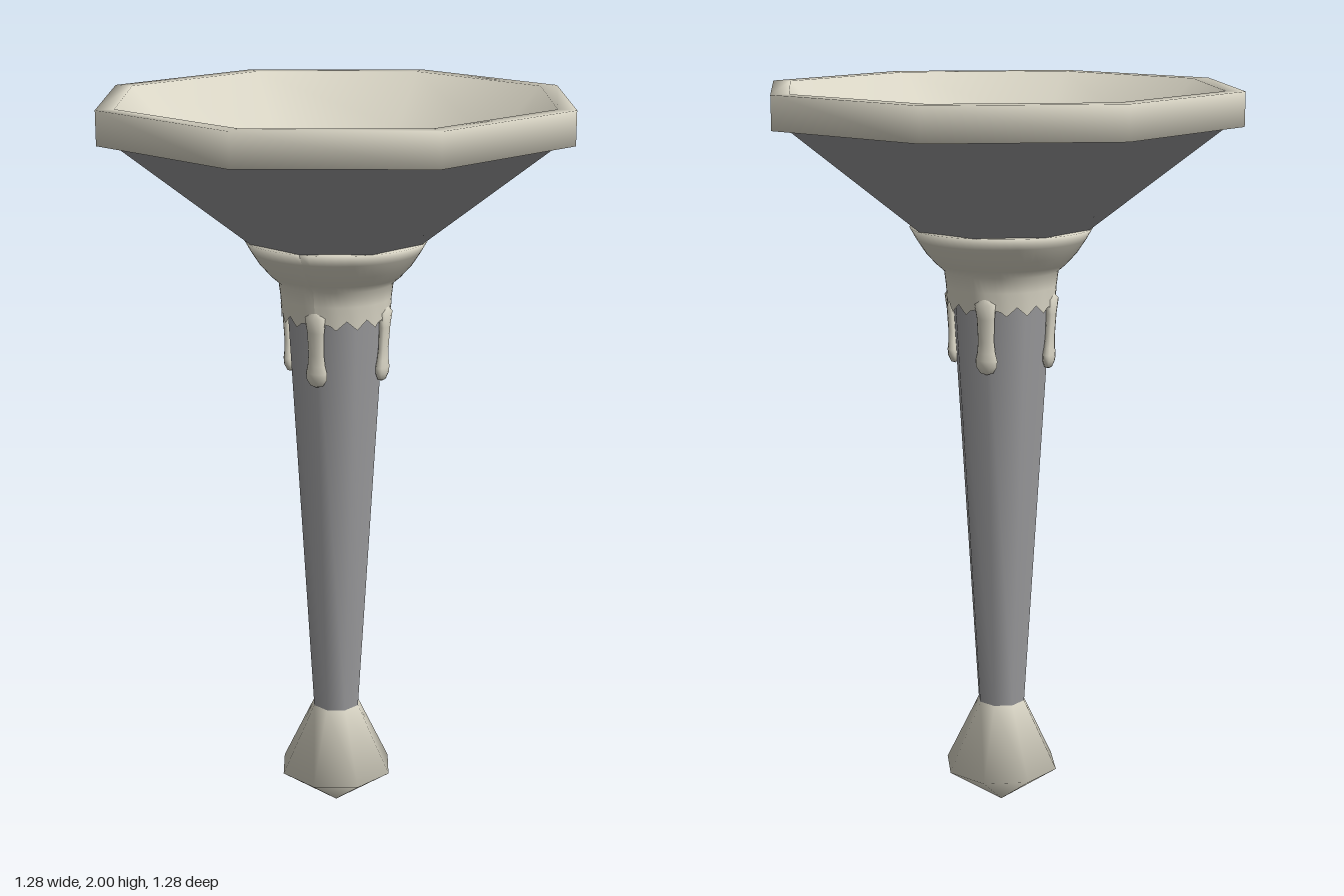
import * as THREE from 'three';

const SIDES = 8;
const cream = new THREE.MeshStandardMaterial({ color: 0xd9d5c5, side: THREE.DoubleSide });
const iron = new THREE.MeshStandardMaterial({ color: 0x9c9c9e, side: THREE.DoubleSide });

// Turned part from [radius, height] pairs, listed bottom to top along the outside
function turned(name, points, segments, material) {
  const profile = points.map(([r, y]) => new THREE.Vector2(r, y));
  const mesh = new THREE.Mesh(new THREE.LatheGeometry(profile, segments), material);
  mesh.name = name;
  return mesh;
}

// Round collar whose lower edge is scalloped and sags towards each drip
function collar() {
  const mesh = turned('collar', [
    [0.144, 1.43], [0.147, 1.48], [0.152, 1.52], [0.175, 1.54], [0.202, 1.57],
    [0.225, 1.605], [0.242, 1.635], [0.2, 1.637],
  ], 64, cream);
  const pos = mesh.geometry.attributes.position;
  for (let i = 0; i < pos.count; i++) {
    if (pos.getY(i) > 1.431) continue;
    const angle = Math.atan2(pos.getX(i), pos.getZ(i));
    const quarter = Math.PI / 2;
    const offset = Math.abs(angle - Math.round(angle / quarter) * quarter);
    const sag = 0.07 * Math.max(0, 1 - offset / 0.3) ** 2;
    pos.setY(i, 1.43 + 0.012 * Math.cos(angle * 16 + Math.PI) - sag);
  }
  mesh.geometry.computeVertexNormals();
  return mesh;
}

// Hanging drip with a swollen end, leaning along the tapered handle
function drip(angle) {
  const mesh = turned('drip', [
    [0, -0.19], [0.018, -0.184], [0.029, -0.167], [0.03, -0.15], [0.025, -0.13],
    [0.022, -0.1], [0.024, -0.04], [0.03, 0], [0, 0.02],
  ], 12, cream);
  mesh.scale.z = 0.55;
  mesh.position.z = 0.14;
  mesh.position.y = 1.45;
  mesh.rotation.x = 0.05;
  const pivot = new THREE.Group();
  pivot.name = 'dripPivot';
  pivot.rotation.y = angle;
  pivot.add(mesh);
  return pivot;
}

export function createModel() {
  const model = new THREE.Group();
  model.name = 'torch';

  // Eight-sided pommel and tapered handle
  model.add(turned('pommel', [[0, 0.005], [0.16, 0.115], [0.066, 0.31]], SIDES, cream));
  model.add(turned('handle', [[0.066, 0.305], [0.14, 1.5]], SIDES, iron));

  // Collar with four drips
  model.add(collar());
  for (let i = 0; i < 4; i++) model.add(drip(i * Math.PI / 2));

  // Flared cup, thick rim and hollow lining
  model.add(turned('cup', [[0.14, 1.56], [0.24, 1.635], [0.6, 1.915]], SIDES, iron));
  model.add(turned('rimAndLining', [
    [0.59, 1.912], [0.64, 1.912], [0.64, 2], [0.59, 2],
    [0.45, 1.86], [0.24, 1.715], [0, 1.66],
  ], SIDES, cream));

  return model;
}
